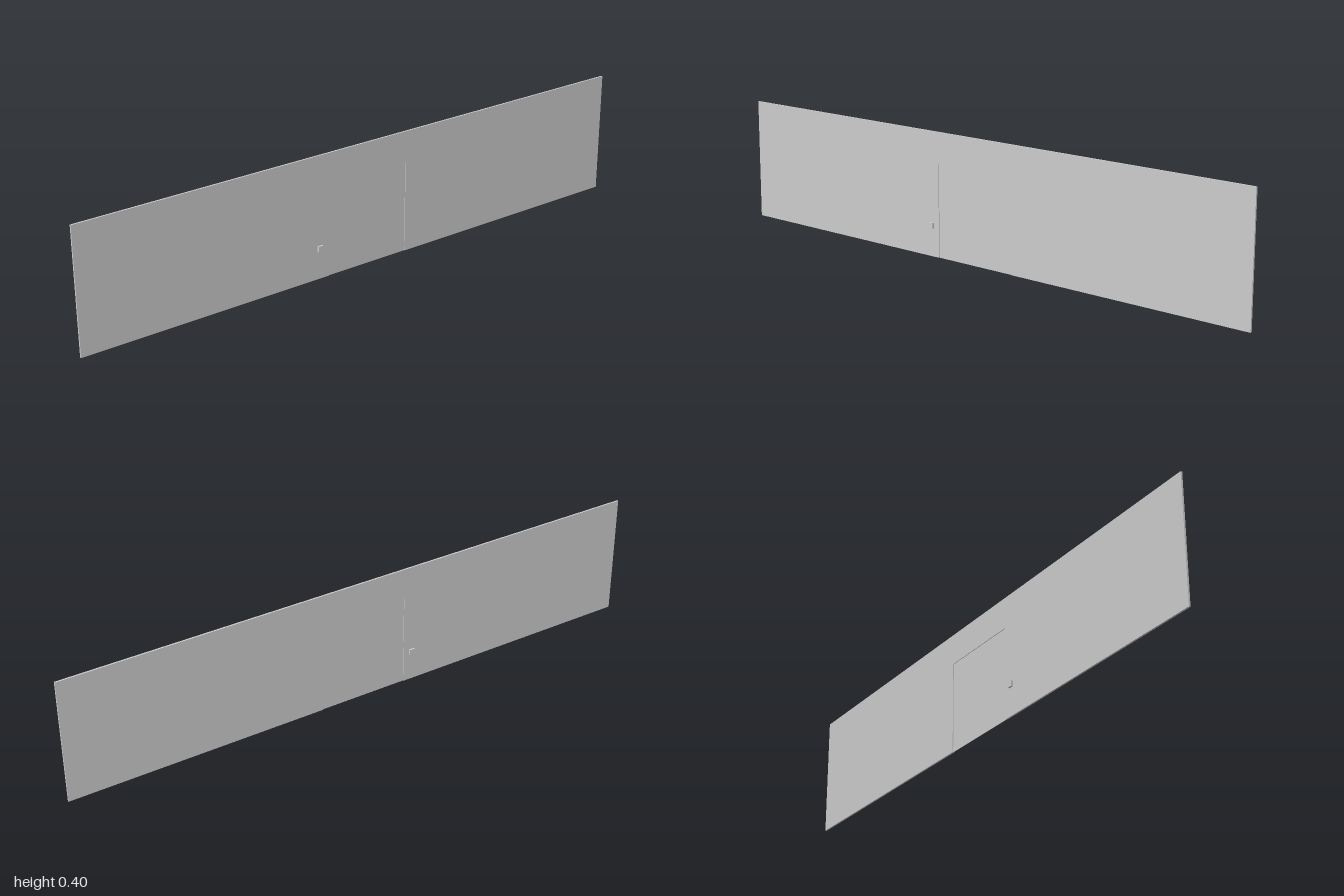
import * as THREE from 'three';

const LENGTH = 2, HEIGHT = 0.402, THICK = 0.0054;
const DOOR_W = 0.3, DOOR_H = 0.3;

export function createModel() {
  const group = new THREE.Group();
  const material = new THREE.MeshStandardMaterial({ color: 0xcccccc });

  function add(name, geometry, x = 0, y = 0, z = 0) {
    const mesh = new THREE.Mesh(geometry, material);
    mesh.name = name;
    mesh.position.set(x, y, z);
    group.add(mesh);
    return mesh;
  }

  // Wall slab with a doorway notched out of the bottom edge
  const l = LENGTH / 2, d = DOOR_W / 2;
  const outline = new THREE.Shape([
    [-l, 0], [-d, 0], [-d, DOOR_H], [d, DOOR_H], [d, 0], [l, 0], [l, HEIGHT], [-l, HEIGHT],
  ].map(([u, v]) => new THREE.Vector2(u, v)));
  const wall = new THREE.ExtrudeGeometry(outline, { depth: THICK, bevelEnabled: false });
  wall.translate(0, 0, -THICK / 2);
  wall.rotateY(Math.PI / 2);
  add('wall', wall);

  // Thin door leaf set back from both wall faces
  add('doorPanel', new THREE.BoxGeometry(0.001, DOOR_H, DOOR_W), 0, DOOR_H / 2, 0);

  // Small switch block beside the doorway, standing proud on both sides
  add('wallSwitch', new THREE.BoxGeometry(0.017, 0.018, 0.018), 0, 0.101, 0.18);

  return group;
}
